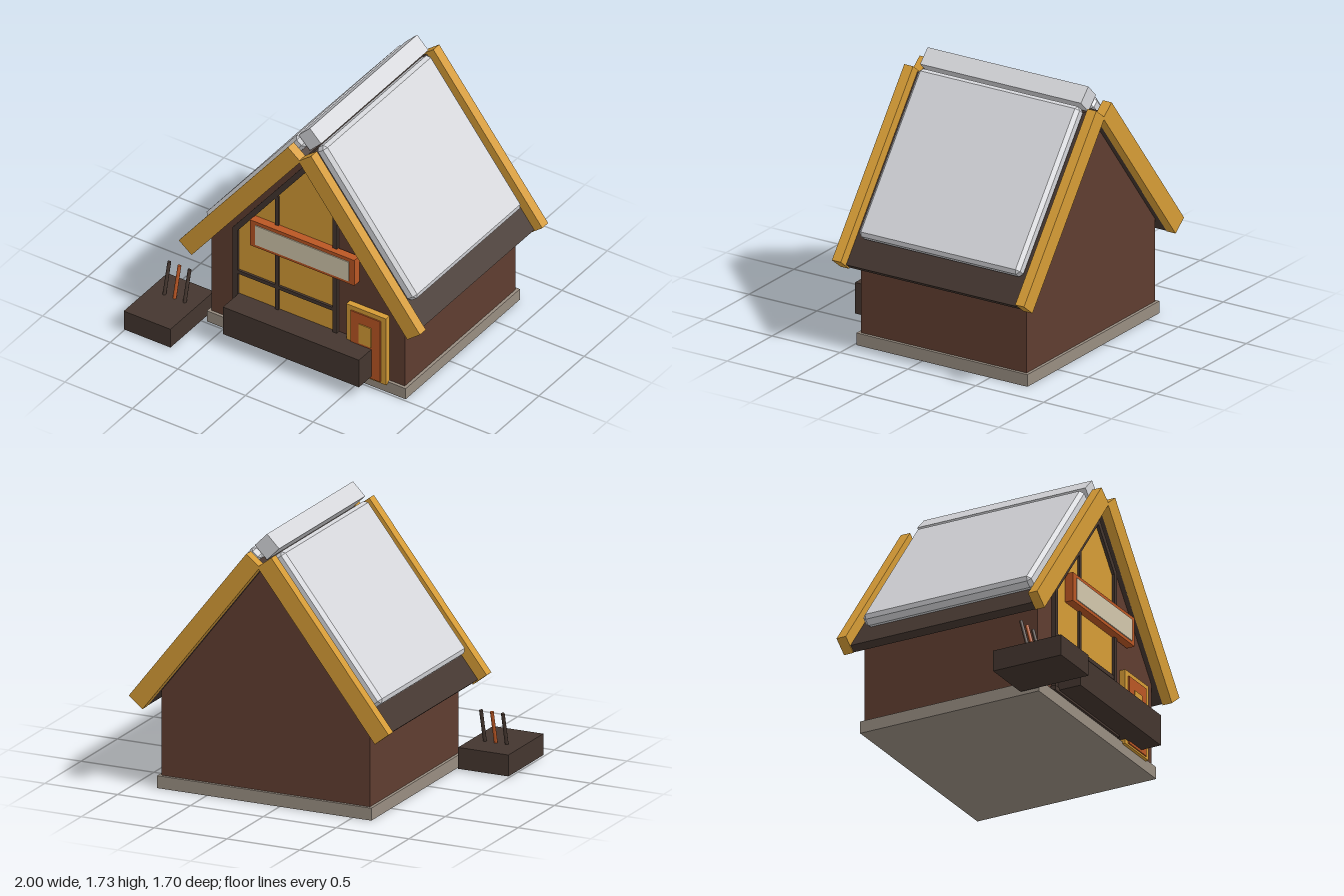
import * as THREE from 'three';
import { ConvexGeometry } from 'three/addons/geometries/ConvexGeometry.js';

const CX = 0.105, CZ = -0.146;      // house centre
const APEX = 1.54, SLOPE = 1.276;   // underside of the roof ridge and its pitch

const mat = (name, color) => {
  const m = new THREE.MeshStandardMaterial({ color });
  m.name = name;
  return m;
};

// Box with every edge and corner cut at 45 degrees
function chamferedBox(w, h, d, c) {
  const pts = [];
  for (const x of [-1, 1]) for (const y of [-1, 1]) for (const z of [-1, 1]) {
    const [a, b, e] = [x * w / 2, y * h / 2, z * d / 2];
    pts.push(
      new THREE.Vector3(a, b - y * c, e - z * c),
      new THREE.Vector3(a - x * c, b, e - z * c),
      new THREE.Vector3(a - x * c, b - y * c, e));
  }
  return new ConvexGeometry(pts);
}

const polygon = (pts, Type = THREE.Shape) => new Type(pts.map(([x, y]) => new THREE.Vector2(x, y)));

export function createModel() {
  const model = new THREE.Group();
  model.name = 'cabin';
  const wood = mat('brown wall', 0x5f3d30);
  const dark = mat('dark timber', 0x44362f);
  const gold = mat('golden yellow', 0xd59b36);
  const rust = mat('rust orange', 0xb95624);
  const cream = mat('cream', 0xd2c6ab);
  const metal = mat('light metal', 0xd5d6da);
  const stone = mat('grey stone', 0x988d81);

  const add = (name, geometry, material, parent = model) => {
    const mesh = new THREE.Mesh(geometry, material);
    mesh.name = name;
    parent.add(mesh);
    return mesh;
  };
  // Box from its limits on each axis
  const box = (name, material, [x0, x1], [y0, y1], [z0, z1], parent = model) => {
    const mesh = add(name, new THREE.BoxGeometry(x1 - x0, y1 - y0, z1 - z0), material, parent);
    mesh.position.set((x0 + x1) / 2, (y0 + y1) / 2, (z0 + z1) / 2);
    return mesh;
  };
  const extrude = (name, material, shape, z0, z1) => {
    const mesh = add(name, new THREE.ExtrudeGeometry(shape, { depth: z1 - z0, bevelEnabled: false }), material);
    mesh.position.z = z0;
    return mesh;
  };

  // Foundation and gabled walls
  box('foundation', stone, [-0.63, 0.84], [0, 0.08], [-0.775, 0.485]);
  const eave = APEX - 0.715 * SLOPE;
  extrude('walls', wood, polygon([[-0.61, 0.08], [0.82, 0.08], [0.82, eave], [CX, APEX], [-0.61, eave]]), -0.755, 0.465);

  // Roof halves: local x runs down the slope, local y points out of it
  for (const side of ['left', 'right']) {
    const half = new THREE.Group();
    half.name = side + 'RoofHalf';
    half.position.set(CX, 0, CZ);
    if (side === 'right') half.rotation.y = Math.PI;
    const slope = new THREE.Group();
    slope.name = side + 'RoofSlope';
    slope.position.y = APEX;
    slope.rotation.z = -Math.atan(SLOPE);
    half.add(slope);
    model.add(half);
    box('roofSlab', dark, [-0.005, 1.285], [0, 0.05], [-0.645, 0.645], slope);
    box('frontBargeBoard', gold, [-0.014, 1.293], [0, 0.12], [0.642, 0.707], slope);
    box('backBargeBoard', gold, [-0.014, 1.293], [0, 0.12], [-0.707, -0.642], slope);
    const panel = add('roofPanel', chamferedBox(1.12, 0.092, 1.184, 0.023), metal, slope);
    panel.position.set(0.545, 0.095, 0);
  }
  const cap = add('ridgeCap', new THREE.BoxGeometry(0.118, 0.118, 1.184), metal);
  cap.position.set(CX, 1.65, CZ);
  cap.rotation.z = Math.PI / 4;

  // Large front window: glazing, frame, mullions and sill
  const glass = [[-0.4, 0.11], [0.305, 0.11], [0.305, 1.17], [CX, 1.426], [-0.4, 0.782]];
  extrude('windowGlass', gold, polygon(glass), 0.465, 0.473);
  const frame = polygon([[-0.435, 0.08], [0.335, 0.08], [0.335, 1.19], [CX, 1.485], [-0.435, 0.796]]);
  frame.holes.push(polygon(glass, THREE.Path));
  extrude('windowFrame', dark, frame, 0.46, 0.492);
  box('windowMullion', dark, [-0.125, -0.1], [0.1, 1.155], [0.466, 0.488]);
  box('windowCrossbar', dark, [-0.41, 0.315], [0.456, 0.482], [0.466, 0.488]);
  box('windowSill', dark, [-0.45, 0.355], [0.08, 0.11], [0.46, 0.5]);

  // Door
  box('doorFrame', gold, [0.415, 0.708], [0.066, 0.567], [0.455, 0.506]);
  box('doorLeaf', rust, [0.452, 0.67], [0.078, 0.535], [0.47, 0.514]);
  box('doorWindow', gold, [0.515, 0.605], [0.316, 0.46], [0.512, 0.52]);

  // Blank sign board
  box('signBoard', rust, [-0.283, 0.49], [0.745, 0.937], [0.475, 0.53]);
  box('signFace', cream, [-0.24, 0.45], [0.767, 0.912], [0.528, 0.536]);

  // Long planter under the window
  box('frontPlanter', dark, [-0.4, 0.605], [0.095, 0.3], [0.46, 0.65]);

  // Detached block with three leaning sticks
  box('sideBlock', dark, [-1, -0.655], [0.01, 0.148], [0.37, 0.85]);
  [-0.893, -0.818, -0.743].forEach((x, i) => {
    const stick = add('stick', new THREE.CylinderGeometry(0.012, 0.012, 0.25, 8), i === 1 ? rust : dark);
    stick.position.set(x, 0.24, 0.538);
    stick.rotation.x = -0.25;
  });

  return model;
}
